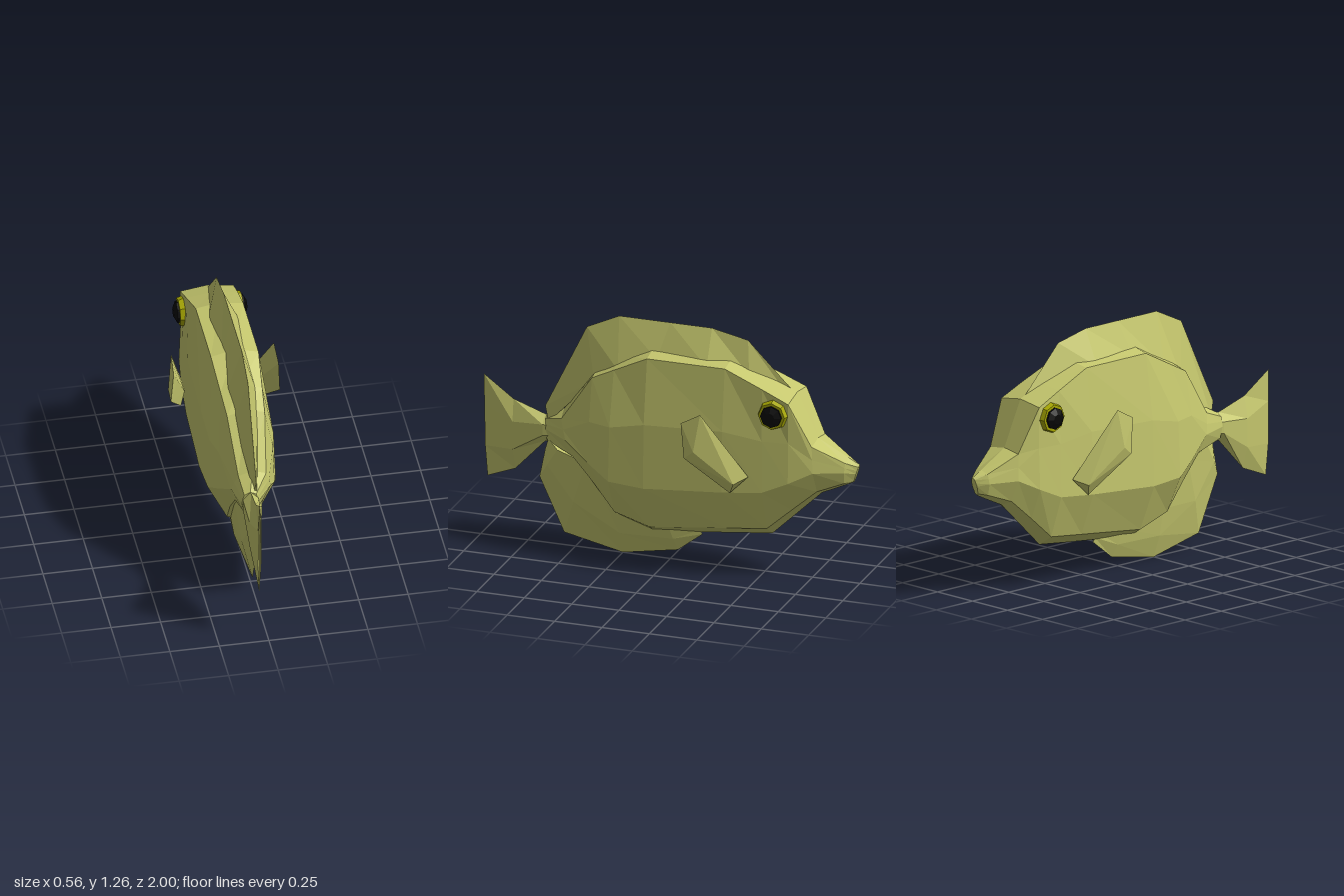
import * as THREE from 'three';
import { ConvexGeometry } from 'three/addons/geometries/ConvexGeometry.js';

const skin = new THREE.MeshStandardMaterial({ name: 'skin', color: 0xc6c86e, flatShading: true });
const iris = new THREE.MeshStandardMaterial({ name: 'iris', color: 0xa8a800, flatShading: true });
const pupil = new THREE.MeshStandardMaterial({ name: 'pupil', color: 0x080808, flatShading: true });

// Joins rings of [x, y, z] points; rings run top, left, bottom, right and advance along +z.
function loft(rings) {
  const pos = [];
  const tri = (...pts) => pts.forEach((p) => pos.push(...p));
  const n = rings[0].length;
  for (let i = 0; i < rings.length - 1; i++) {
    for (let j = 0; j < n; j++) {
      const k = (j + 1) % n;
      const [a, b, c, d] = [rings[i][j], rings[i][k], rings[i + 1][j], rings[i + 1][k]];
      tri(a, c, b);
      tri(b, c, d);
    }
  }
  const first = rings[0], last = rings[rings.length - 1];
  for (let j = 1; j < n - 1; j++) {
    tri(first[0], first[j], first[j + 1]);
    tri(last[0], last[j + 1], last[j]);
  }
  const g = new THREE.BufferGeometry();
  g.setAttribute('position', new THREE.Float32BufferAttribute(pos, 3));
  g.computeVertexNormals();
  return g;
}

function add(group, name, geometry, material) {
  const m = new THREE.Mesh(geometry, material);
  m.name = name;
  group.add(m);
  return m;
}

// Body ring: ridge, shoulder rim, upper side, widest point, belly rim, keel, mirrored.
function bodyRing([zTop, zBot, cx, top, rimX, rimY, midX, midY, lowX, lowY, bot]) {
  const half = [[rimX, rimY], [midX * 0.6 + rimX * 0.4, (rimY + midY) / 2], [midX, midY], [lowX, lowY]];
  if (midX > 0.11) half[1][0] = midX * 0.94;
  const at = (x, y) => [cx + x, y, zBot + (zTop - zBot) * (y - bot) / (top - bot)];
  return [at(0, top), ...half.map(([x, y]) => at(x, y)), at(0, bot),
    ...half.reverse().map(([x, y]) => at(-x, y))];
}

function makeBody() {
  return loft([
    [-1.0, -0.97, 0, 0.635, 0.012, 0.625, 0.018, 0.59, 0.012, 0.55, 0.54],
    [-0.94, -0.93, 0, 0.665, 0.045, 0.65, 0.055, 0.60, 0.04, 0.54, 0.52],
    [-0.78, -0.80, 0, 0.75, 0.10, 0.735, 0.112, 0.60, 0.07, 0.49, 0.46],
    [-0.67, -0.67, 0, 0.98, 0.135, 0.96, 0.142, 0.54, 0.08, 0.38, 0.335],
    [-0.53, -0.54, 0, 1.04, 0.13, 1.02, 0.155, 0.48, 0.085, 0.265, 0.21],
    [-0.33, -0.33, 0, 1.12, 0.12, 1.10, 0.17, 0.46, 0.085, 0.24, 0.185],
    [0.08, 0.08, 0, 1.13, 0.12, 1.10, 0.18, 0.43, 0.08, 0.19, 0.14],
    [0.26, 0.27, 0, 1.05, 0.105, 1.01, 0.172, 0.44, 0.075, 0.245, 0.215],
    [0.38, 0.38, 0, 0.975, 0.095, 0.95, 0.145, 0.51, 0.08, 0.39, 0.35],
    [0.56, 0.48, 0, 0.73, 0.07, 0.70, 0.10, 0.60, 0.075, 0.51, 0.48],
    [0.66, 0.65, -0.03, 0.675, 0.03, 0.66, 0.042, 0.61, 0.03, 0.55, 0.535],
  ].map(bodyRing));
}

// Dorsal fin sections: crest z, crest y, base z, base y, base half width
function makeDorsal() {
  return loft([
    [-0.64, 0.99, -0.62, 0.96, 0.004],
    [-0.41, 1.22, -0.43, 1.05, 0.04],
    [-0.22, 1.26, -0.22, 1.08, 0.082],
    [0.0, 1.26, 0.05, 1.08, 0.062],
    [0.27, 1.26, 0.25, 1.0, 0.075],
    [0.44, 1.18, 0.38, 0.92, 0.06],
    [0.66, 0.73, 0.64, 0.65, 0.008],
  ].map(([z, y, bz, by, w]) => [[0, y, z], [w, by, bz], [-w, by, bz]]));
}

// Anal fin sections: edge z, edge y, base z, base y, base half width
function makeAnal() {
  return loft([
    [-0.17, 0.155, -0.14, 0.2, 0.006],
    [-0.04, 0.055, 0.0, 0.2, 0.04],
    [0.25, 0.003, 0.26, 0.26, 0.06],
    [0.56, 0.07, 0.42, 0.48, 0.07],
    [0.69, 0.35, 0.58, 0.52, 0.045],
    [0.66, 0.5, 0.64, 0.56, 0.008],
  ].map(([z, y, bz, by, w]) => {
    const my = y + (by - y) * 0.45, mz = z + (bz - z) * 0.45;
    return [[w, by, bz], [w * 0.62, my, mz], [0, y, z], [-w * 0.62, my, mz], [-w, by, bz]];
  }));
}

// Tail fin sections: top y, top z, bottom y, bottom z, centre x, half width
function makeTail() {
  return loft([
    [0.675, 0.62, 0.535, 0.62, -0.025, 0.035],
    [0.675, 0.67, 0.53, 0.67, -0.028, 0.04],
    [0.73, 0.84, 0.36, 0.83, -0.036, 0.03],
    [0.84, 1.0, 0.3, 0.98, -0.045, 0.008],
  ].map(([ty, tz, by, bz, cx, w]) => {
    const hi = ty + (by - ty) * 0.3, lo = ty + (by - ty) * 0.7, z = (tz + bz) / 2;
    return [[cx, ty, tz], [cx + w, hi, z], [cx + w, lo, z], [cx, by, bz], [cx - w, lo, z], [cx - w, hi, z]];
  }));
}

function makePectoral(side) {
  const points = [
    [0.165, 0.56, -0.47], [0.185, 0.47, -0.38], [0.275, 0.66, -0.17], [0.265, 0.84, -0.15],
    [0.26, 0.895, -0.25], [0.28, 0.7, -0.22], [0.22, 0.53, -0.41], [0.235, 0.76, -0.21], [0.165, 0.55, -0.39],
  ];
  return new ConvexGeometry(points.map(([x, y, z]) => new THREE.Vector3(side * x, y, z)));
}

export function createModel() {
  const fish = new THREE.Group();
  fish.name = 'fish';
  add(fish, 'body', makeBody(), skin);
  add(fish, 'dorsalFin', makeDorsal(), skin);
  add(fish, 'analFin', makeAnal(), skin);
  add(fish, 'tailFin', makeTail(), skin);

  for (const side of [1, -1]) {
    const label = side > 0 ? 'left' : 'right';
    add(fish, label + 'PectoralFin', makePectoral(side), skin);

    // Eye: octagonal rim with a faceted pupil bulging from it
    const eye = new THREE.Group();
    eye.name = label + 'Eye';
    eye.position.set(side * 0.14, 0.895, -0.59);
    eye.rotation.z = -side * Math.PI / 2;
    add(eye, 'iris', new THREE.CylinderGeometry(0.07, 0.082, 0.04, 8), iris);
    add(eye, 'pupilRim', new THREE.CylinderGeometry(0.056, 0.056, 0.02, 8), pupil).position.y = 0.02;
    add(eye, 'pupilDome', new THREE.CylinderGeometry(0.025, 0.056, 0.016, 8), pupil).position.y = 0.037;
    fish.add(eye);
  }
  return fish;
}
